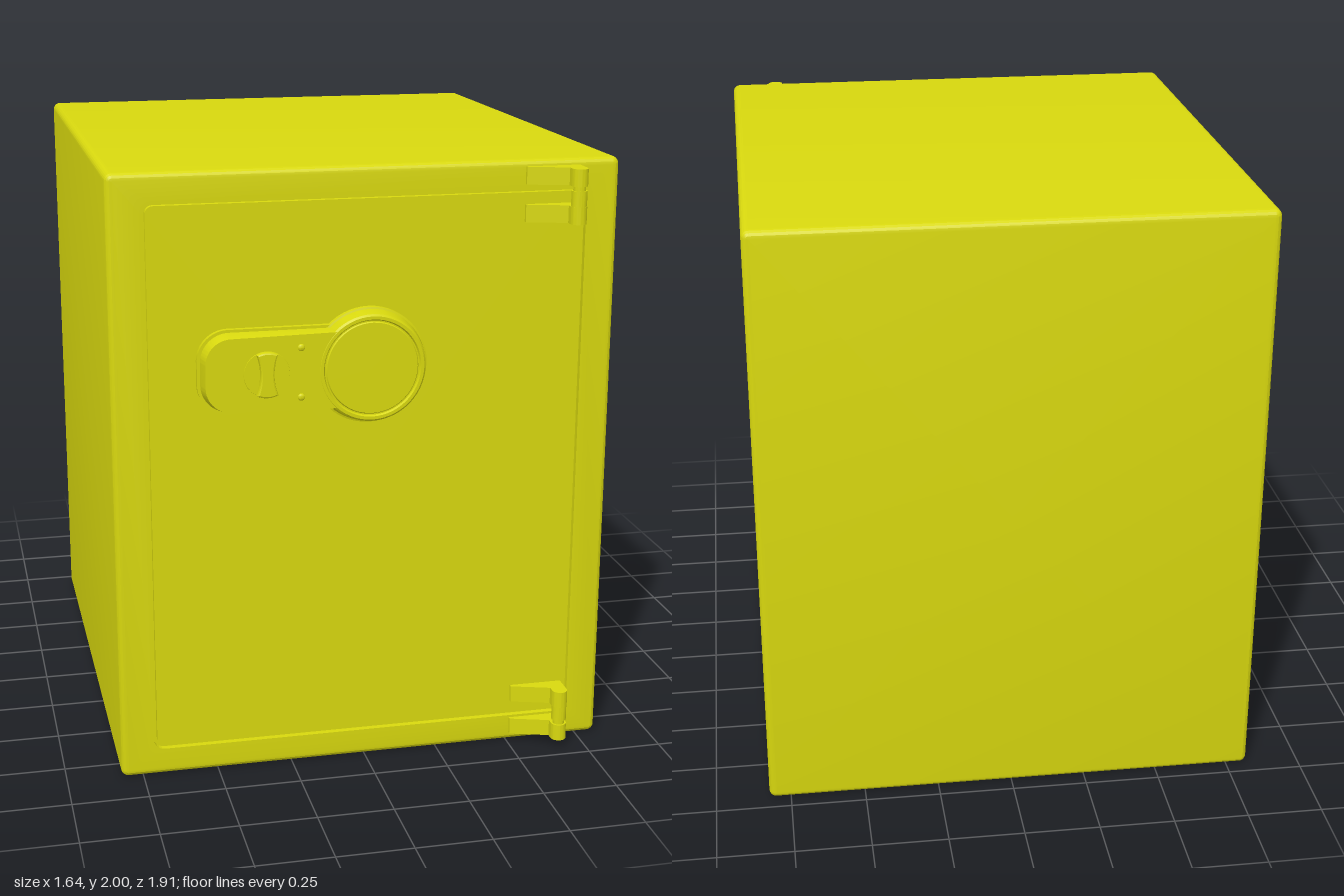
import * as THREE from 'three';
import { toCreasedNormals } from 'three/addons/utils/BufferGeometryUtils.js';

const paint = new THREE.MeshStandardMaterial({ color: 0xd8d80e });
const FRONT = 0.857, BACK = -0.955;

function part(name, geometry, parent, crease = 0.5) {
  const mesh = new THREE.Mesh(toCreasedNormals(geometry, crease), paint);
  mesh.name = name;
  parent.add(mesh);
  return mesh;
}

// Skin through rounded rectangles [halfWidth, halfHeight, z, cornerRadius], back to front
function loft(sections, steps = 6) {
  const pos = [], index = [], n = 4 * (steps + 1);
  for (const [w, h, z, r] of sections) {
    for (let q = 0; q < 4; q++) {
      const sx = q === 0 || q === 3 ? 1 : -1, sy = q < 2 ? 1 : -1;
      for (let s = 0; s <= steps; s++) {
        const a = (q + s / steps) * Math.PI / 2;
        pos.push(sx * (w - r) + r * Math.cos(a), sy * (h - r) + r * Math.sin(a), z);
      }
    }
  }
  for (let i = 0; i < sections.length - 1; i++) {
    for (let j = 0; j < n; j++) {
      const a = i * n + j, b = i * n + (j + 1) % n;
      index.push(a, b, b + n, a, b + n, a + n);
    }
  }
  const g = new THREE.BufferGeometry();
  g.setAttribute('position', new THREE.Float32BufferAttribute(pos, 3));
  g.setIndex(index);
  return g;
}

// Cabinet with rounded edges, and a flush door outlined by a groove
function cabinet(parent) {
  const W = 0.822, H = 1, R = 0.024, sections = [[0, 0, BACK, 0]];
  const edge = (t, z) => {
    const c = Math.cos(t);
    sections.push([W - R + R * c, H - R + R * c, z + R * Math.sin(t), Math.max(R * c, 0.001)]);
  };
  for (let i = 0; i <= 4; i++) edge((i / 4 - 1) * Math.PI / 2, BACK + R);
  for (let i = 0; i <= 4; i++) edge(i / 4 * Math.PI / 2, FRONT - R);
  sections.push(
    [0.713, 0.908, FRONT, 0.035], [0.713, 0.908, FRONT - 0.02, 0.035],
    [0.702, 0.897, FRONT - 0.02, 0.026], [0.702, 0.897, FRONT, 0.026],
    [0, 0, FRONT, 0]);
  part('cabinetAndDoor', loft(sections), parent, 0.2).position.y = H;
}

// Outline of the lock plate, with its right end curved to fit under the dial
function plateShape(left, half, radius, dialR) {
  const a = Math.asin(half / dialR), s = new THREE.Shape();
  s.moveTo(left + radius, -half);
  s.lineTo(-dialR * Math.cos(a), -half);
  s.absarc(0, 0, dialR, Math.PI + a, Math.PI - a, true);
  s.lineTo(left + radius, half);
  s.absarc(left + radius, half - radius, radius, Math.PI / 2, Math.PI, false);
  s.absarc(left + radius, radius - half, radius, Math.PI, Math.PI * 1.5, false);
  return s;
}

function lock(parent) {
  const group = new THREE.Group();
  group.name = 'lock';
  group.position.set(0, 1.367, FRONT);
  parent.add(group);

  part('lockPlateBase', new THREE.ExtrudeGeometry(plateShape(-0.553, 0.137, 0.1, 0.16),
    { depth: 0.018, bevelEnabled: false, curveSegments: 16 }), group);
  part('lockPlate', new THREE.ExtrudeGeometry(plateShape(-0.543, 0.128, 0.092, 0.158), {
    depth: 0.018, bevelThickness: 0.045, bevelSize: 0.01, bevelOffset: -0.01,
    bevelSegments: 1, curveSegments: 16,
  }), group);

  // Round dial with a raised rim
  const profile = [[0.188, 0], [0.188, 0.018], [0.182, 0.02], [0.174, 0.058], [0.168, 0.064],
    [0.158, 0.064], [0.154, 0.057], [0.15, 0.057], [0.147, 0.061], [0, 0.061]];
  part('dial', new THREE.LatheGeometry(profile.map(([r, y]) => new THREE.Vector2(r, y)), 56)
    .rotateX(Math.PI / 2), group);

  // Round boss and waisted turning knob
  const boss = part('knobBoss', new THREE.CylinderGeometry(0.073, 0.075, 0.006, 32)
    .rotateX(Math.PI / 2), group);
  boss.position.set(-0.34, 0, 0.062);
  const grip = new THREE.Shape();
  grip.moveTo(-0.034, -0.066);
  grip.quadraticCurveTo(0, -0.082, 0.034, -0.066);
  grip.quadraticCurveTo(0.01, 0, 0.034, 0.066);
  grip.quadraticCurveTo(0, 0.082, -0.034, 0.066);
  grip.quadraticCurveTo(-0.01, 0, -0.034, -0.066);
  const knob = part('knob', new THREE.ExtrudeGeometry(grip, {
    depth: 0.012, bevelThickness: 0.008, bevelSize: 0.006, bevelOffset: -0.006,
    bevelSegments: 2, curveSegments: 10,
  }), group);
  knob.position.set(-0.34, 0, 0.064);

  // Small studs beside the knob
  for (const y of [-0.08, 0.08]) {
    const stud = part('stud', new THREE.SphereGeometry(0.012, 14, 8).scale(1, 1, 0.7), group);
    stud.position.set(-0.23, y, 0.062);
  }
}

// Two sloping leaves joined by a pin; the knuckle sits against one of them
function hinge(parent, baseY, knuckleY) {
  const group = new THREE.Group();
  group.name = 'hinge';
  group.position.y = baseY;
  parent.add(group);
  const X = 0.661, Z = 0.929, R = 0.026;

  // Leaf outline drawn in x and -z, then laid flat
  const leaf = new THREE.Shape();
  leaf.moveTo(0.508, -FRONT + 0.005);
  leaf.lineTo(0.508, -0.868);
  leaf.lineTo(X - R, -0.908);
  leaf.lineTo(X - R, -Z);
  leaf.absarc(X, -Z, R, Math.PI, Math.PI * 2, false);
  leaf.lineTo(X + R, -FRONT + 0.005);
  for (const y of [0, 0.12]) {
    const g = new THREE.ExtrudeGeometry(leaf, { depth: 0.056, bevelEnabled: false, curveSegments: 12 });
    part('hingeLeaf', g.rotateX(-Math.PI / 2), group).position.y = y;
  }
  part('hingeKnuckle', new THREE.CylinderGeometry(R - 0.001, R - 0.001, 0.05, 20), group)
    .position.set(X, knuckleY, Z);
  part('hingePin', new THREE.CylinderGeometry(0.02, 0.02, 0.16, 20), group)
    .position.set(X, 0.088, Z);
}

export function createModel() {
  const model = new THREE.Group();
  model.name = 'safe';
  cabinet(model);
  lock(model);
  hinge(model, 1.803, 0.081);
  hinge(model, 0.028, 0.095);
  return model;
}
